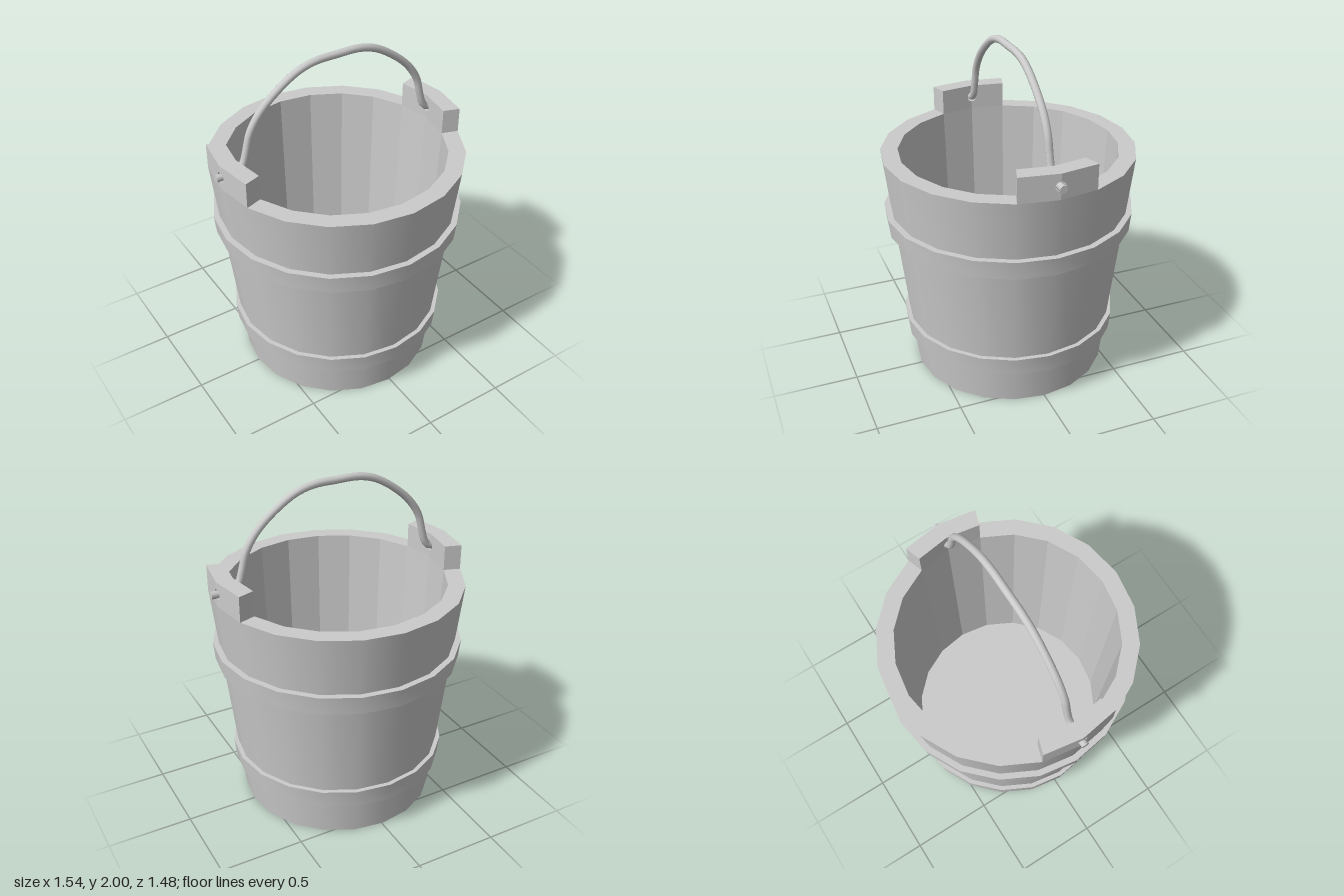
import * as THREE from 'three';
import { toCreasedNormals } from 'three/addons/utils/BufferGeometryUtils.js';

const SIDES = 20;
const STEP = (2 * Math.PI) / SIDES;
const R_OUT = 0.74, R_IN = 0.64, RIM_Y = 1.38, LUG_TOP = 1.53, HOLE_Y = 1.455;

const smooth = new THREE.MeshStandardMaterial({ color: 0xcccccc });
const flat = new THREE.MeshStandardMaterial({ color: 0xcccccc, flatShading: true });

function mesh(name, geometry, material) {
  const m = new THREE.Mesh(geometry, material);
  m.name = name;
  return m;
}

// Twenty-sided turned part from [radius, y] pairs
function turned(name, profile, material) {
  const lathe = new THREE.LatheGeometry(profile.map(([r, y]) => new THREE.Vector2(r, y)), SIDES);
  return mesh(name, toCreasedNormals(lathe, Math.PI / 6), material);
}

// Hoop that follows the slope of the wall
function hoop(name, y0, y1, r0, r1) {
  const t = 0.04;
  return turned(name, [[r0 - t, y0], [r0, y0], [r1, y1], [r1 - t, y1], [r0 - t, y0]], smooth);
}

// One facet of a raised stave, with half of the handle hole; side is +1 or -1 in z
function lugHalf(side) {
  const shape = new THREE.Shape();
  shape.moveTo(0, RIM_Y);
  shape.lineTo(side, RIM_Y);
  shape.lineTo(side, LUG_TOP);
  shape.lineTo(0, LUG_TOP);
  for (let i = 0; i <= 8; i++) {
    const a = Math.PI / 2 - (i / 8) * Math.PI;
    shape.lineTo(side * 0.14 * Math.cos(a), HOLE_Y + 0.03 * Math.sin(a));
  }
  const g = new THREE.ExtrudeGeometry(shape, { depth: 1, bevelEnabled: false });
  // Lay the slab onto the facet between the outer and inner radius
  const p = g.attributes.position;
  for (let i = 0; i < p.count; i++) {
    const u = p.getX(i), r = R_OUT + (R_IN - R_OUT) * p.getZ(i);
    p.setXYZ(i, r * (1 - (1 - Math.cos(STEP)) * Math.abs(u)), p.getY(i), r * Math.sin(STEP) * u);
  }
  g.computeVertexNormals();
  return mesh('lugHalf', g, flat);
}

// Bent rod: straight through each lug, then up over the top
function handle() {
  const half = [
    [0.63, 1.463], [0.602, 1.495], [0.578, 1.57], [0.55, 1.67], [0.485, 1.77],
    [0.38, 1.865], [0.25, 1.945], [0.14, 1.975],
  ];
  const r = 0.022, end = 0.77;
  const pts = [
    [-end, HOLE_Y], [-0.68, HOLE_Y], ...half.map(([x, y]) => [-x, y]), [0, 1.978],
    ...half.slice().reverse(), [0.68, HOLE_Y], [end, HOLE_Y],
  ].map(([x, y]) => new THREE.Vector3(x, y, 0));
  const group = new THREE.Group();
  group.name = 'handle';
  group.add(mesh('handleRod', new THREE.TubeGeometry(new THREE.CatmullRomCurve3(pts), 72, r, 10), smooth));
  for (const s of [-1, 1]) {
    const cap = mesh('handleEnd', new THREE.CircleGeometry(r, 10), flat);
    cap.position.set(s * end, HOLE_Y, 0);
    cap.rotation.y = (s * Math.PI) / 2;
    group.add(cap);
  }
  return group;
}

export function createModel() {
  const model = new THREE.Group();
  model.name = 'bucket';

  const body = new THREE.Group();
  body.name = 'body';
  body.position.x = -0.01;
  body.add(
    turned('outerWall', [[0, 0], [0.585, 0], [R_OUT, RIM_Y], [R_IN, RIM_Y]], smooth),
    turned('innerWallAndFloor', [[R_IN, RIM_Y], [0.59, 0.15], [0, 0.15]], flat),
    hoop('upperHoop', 0.92, 1.03, 0.725, 0.736),
    hoop('lowerHoop', 0.22, 0.33, 0.637, 0.648),
  );

  // Raised staves that carry the handle
  for (const name of ['leftLug', 'rightLug']) {
    const lug = new THREE.Group();
    lug.name = name;
    lug.add(lugHalf(1), lugHalf(-1));
    if (name === 'rightLug') lug.rotation.y = Math.PI;
    body.add(lug);
  }

  const rod = handle();
  rod.position.x = -0.006;
  model.add(body, rod);
  return model;
}
